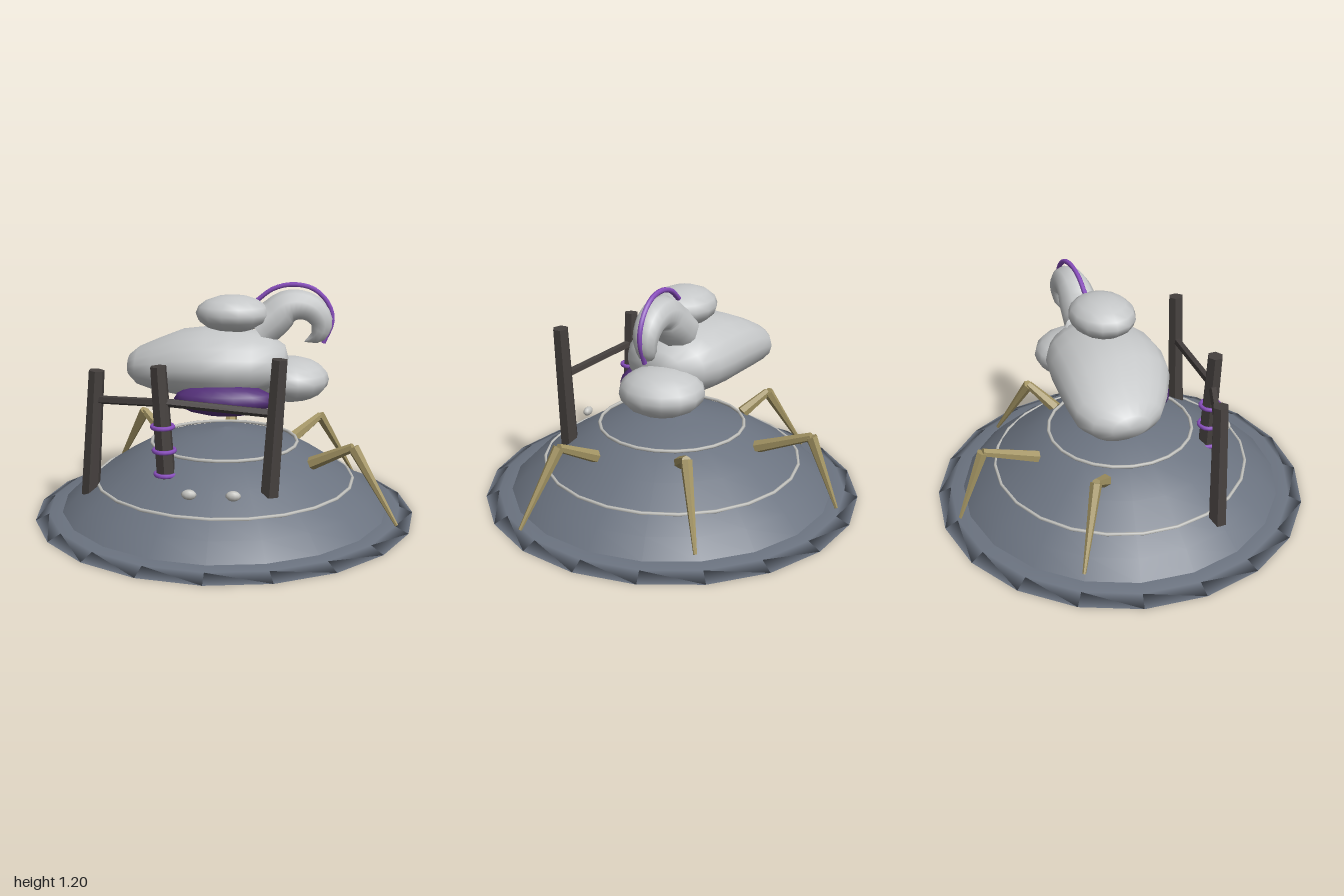
import * as THREE from 'three';
import { mergeVertices } from 'three/addons/utils/BufferGeometryUtils.js';

const V = (x, y, z) => new THREE.Vector3(x, y, z);

export function createModel() {
  const root = new THREE.Group();
  const mat = (name, color) => {
    const m = new THREE.MeshStandardMaterial({ color });
    m.name = name;
    return m;
  };
  const slate = mat('slate', 0x6b7380);
  const white = mat('pale grey', 0xc6c8c9);
  const trim = mat('trim grey', 0xc2c2be);
  const wood = mat('dark wood', 0x45403e);
  const gold = mat('dull gold', 0xa39463);
  const violet = mat('violet', 0x8a4fbf);
  const plum = mat('dark purple', 0x532f78);

  const add = (name, geo, material, parent = root) => {
    const mesh = new THREE.Mesh(geo, material);
    mesh.name = name;
    parent.add(mesh);
    return mesh;
  };
  const ellipsoid = (name, p, r, material, w = 16, h = 12) => {
    const mesh = add(name, new THREE.SphereGeometry(1, w, h), material);
    mesh.position.set(...p);
    mesh.scale.set(...r);
    return mesh;
  };
  // tapered rod between two points
  const rod = (name, a, b, ra, rb, sides, material, parent) => {
    const dir = b.clone().sub(a);
    const geo = new THREE.CylinderGeometry(rb, ra, dir.length(), sides).toNonIndexed();
    geo.computeVertexNormals();
    const mesh = add(name, geo, material, parent);
    mesh.position.copy(a).add(b).multiplyScalar(0.5);
    mesh.quaternion.setFromUnitVectors(V(0, 1, 0), dir.normalize());
    return mesh;
  };
  // closed skin over rings of points; ring(i, angle) gives each point
  const loft = (count, sides, ring) => {
    const pos = [], idx = [];
    for (let i = 0; i < count; i++)
      for (let j = 0; j < sides; j++) pos.push(...ring(i, (j / sides) * Math.PI * 2).toArray());
    for (let i = 0; i < count - 1; i++)
      for (let j = 0; j < sides; j++) {
        const k = (j + 1) % sides;
        const a = i * sides + j, b = i * sides + k, c = a + sides, d = b + sides;
        idx.push(a, b, c, b, d, c);
      }
    const geo = new THREE.BufferGeometry();
    geo.setAttribute('position', new THREE.Float32BufferAttribute(pos, 3));
    geo.setIndex(idx);
    const merged = mergeVertices(geo, 1e-5);
    merged.computeVertexNormals();
    return merged;
  };

  // broad disc and shallow dome
  add('baseDisc', new THREE.LatheGeometry(
    [[0, 0], [1, 0], [0.93, 0.03], [0.84, 0.035], [0, 0.036]].map(p => new THREE.Vector2(...p)), 20), slate);
  const domeProfile = [[0.865, 0.03], [0.78, 0.115], [0.67, 0.19], [0.54, 0.275], [0.39, 0.36], [0.2, 0.415], [0, 0.443]];
  add('dome', new THREE.LatheGeometry(domeProfile.map(p => new THREE.Vector2(...p)), 20), slate);
  for (const [r, y] of [[0.68, 0.182], [0.385, 0.372]]) {
    const ring = add('domeRing', new THREE.TorusGeometry(r, 0.009, 6, 24), trim);
    ring.rotation.x = Math.PI / 2;
    ring.position.y = y;
  }
  for (const x of [-0.11, 0.1]) ellipsoid('domeNub', [x, 0.272, 0.6], [0.037, 0.025, 0.022], trim, 10, 8);

  // main body: [x, yLow, yHigh, zBack, zFront]
  const sections = [
    [-0.55, 0.735, 0.735, -0.2, -0.2], [-0.535, 0.675, 0.79, -0.285, -0.09], [-0.48, 0.63, 0.835, -0.36, 0],
    [-0.38, 0.605, 0.88, -0.405, 0.08], [-0.24, 0.595, 0.94, -0.405, 0.165], [-0.1, 0.59, 0.96, -0.39, 0.2],
    [0.03, 0.59, 0.96, -0.375, 0.205], [0.15, 0.605, 0.945, -0.35, 0.175], [0.24, 0.635, 0.915, -0.3, 0.125],
    [0.31, 0.685, 0.87, -0.21, 0.04], [0.335, 0.78, 0.78, -0.09, -0.09],
  ];
  add('mainBody', loft(sections.length, 20, (i, t) => {
    const [x, y0, y1, z0, z1] = sections[i];
    return V(x, (y0 + y1) / 2 + Math.cos(t) * (y1 - y0) / 2, (z0 + z1) / 2 + Math.sin(t) * (z1 - z0) / 2);
  }), white).material.side = THREE.DoubleSide;
  ellipsoid('sideLobe', [0.34, 0.685, -0.12], [0.205, 0.118, 0.215], white, 14, 10);
  ellipsoid('upperLobe', [0.035, 1.035, -0.083], [0.195, 0.098, 0.167], white, 14, 8);
  ellipsoid('underPouch', [0.01, 0.62, 0.12], [0.26, 0.085, 0.118], plum, 14, 8);

  // tapering horn that hooks over
  const hornPath = new THREE.CatmullRomCurve3([
    V(0.17, 0.95, -0.12), V(0.25, 1.01, -0.12), V(0.31, 1.065, -0.12), V(0.38, 1.08, -0.12),
    V(0.455, 1.055, -0.12), V(0.5, 0.99, -0.12), V(0.48, 0.92, -0.12), V(0.41, 0.885, -0.12)]);
  const hornRadii = [0.11, 0.1, 0.088, 0.078, 0.07, 0.06, 0.045, 0.001];
  const steps = 21;
  add('horn', loft(steps, 10, (i, t) => {
    const u = i / (steps - 1), f = Math.min(u * 7, 6.999), k = Math.floor(f);
    const r = THREE.MathUtils.lerp(hornRadii[k], hornRadii[k + 1], f - k);
    const p = hornPath.getPoint(u), d = hornPath.getTangent(u);
    return p.add(V(-d.y, d.x, 0).multiplyScalar(r * Math.cos(t))).add(V(0, 0, r * Math.sin(t)));
  }), white);
  add('hornStripe', new THREE.TubeGeometry(new THREE.CatmullRomCurve3([
    V(0.16, 1.1, -0.12), V(0.24, 1.16, -0.12), V(0.34, 1.185, -0.12), V(0.45, 1.165, -0.12),
    V(0.53, 1.09, -0.12), V(0.555, 1.0, -0.12), V(0.51, 0.88, -0.12)]), 20, 0.013, 6), violet);

  // leaning fence posts and rails
  const posts = [
    [V(-0.675, 0.13, 0.23), V(-0.62, 0.785, 0.24)],
    [V(-0.25, 0.285, 0.395), V(-0.28, 0.845, 0.4)],
    [V(0.265, 0.24, 0.48), V(0.305, 0.905, 0.48)],
  ];
  for (const [a, b] of posts) rod('fencePost', a, b, 0.049, 0.041, 6, wood);
  rod('fenceRail', V(-0.63, 0.635, 0.24), V(-0.27, 0.665, 0.4), 0.022, 0.022, 5, wood);
  rod('fenceRail', V(-0.27, 0.67, 0.4), V(0.29, 0.645, 0.48), 0.022, 0.022, 5, wood);
  for (const y of [0.305, 0.425, 0.545]) {
    const band = add('postBand', new THREE.TorusGeometry(0.052, 0.011, 6, 14), violet);
    band.rotation.x = Math.PI / 2;
    band.position.set(-0.25 - (y - 0.285) * 0.054, y, 0.397);
  }

  // bent legs: base, knee, foot
  const legs = [
    [V(0.46, 0.315, 0.195), V(0.665, 0.43, 0.275), V(0.885, 0.065, 0.37)],
    [V(0.36, 0.33, -0.23), V(0.505, 0.43, -0.335), V(0.7, 0.065, -0.48)],
    [V(-0.015, 0.315, -0.48), V(-0.02, 0.43, -0.77), V(-0.025, 0.065, -0.92)],
    [V(-0.37, 0.33, -0.25), V(-0.49, 0.43, -0.35), V(-0.68, 0.065, -0.5)],
  ];
  for (const [base, knee, foot] of legs) {
    const leg = new THREE.Group();
    leg.name = 'leg';
    root.add(leg);
    rod('upperLeg', base, knee, 0.034, 0.022, 6, gold, leg);
    rod('lowerLeg', knee, foot, 0.03, 0.009, 6, gold, leg);
  }
  return root;
}
